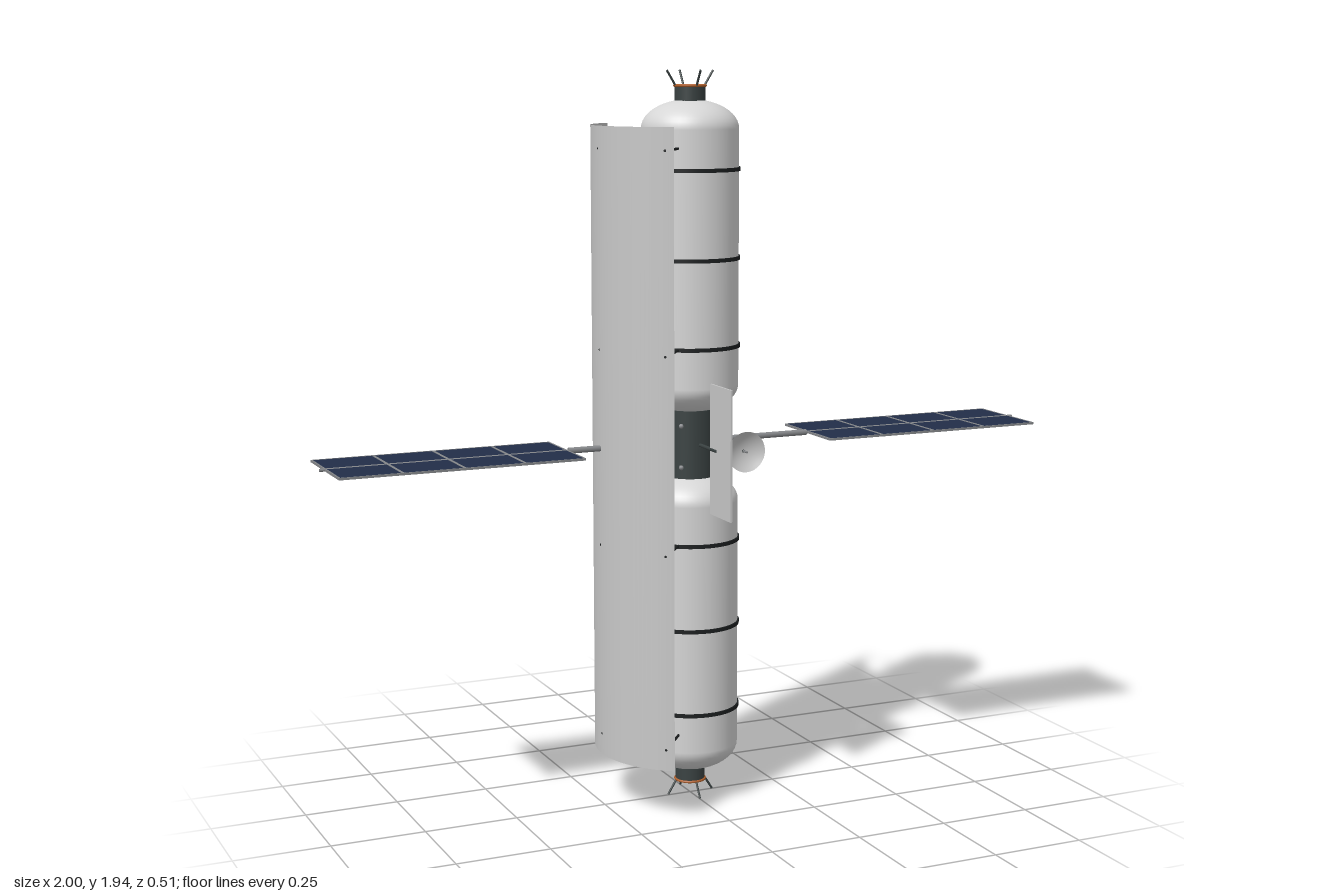
import * as THREE from 'three';

const mat = (name, color, side = THREE.FrontSide) => {
  const m = new THREE.MeshStandardMaterial({ color, side });
  m.name = name;
  return m;
};

export function createModel() {
  const root = new THREE.Group();
  root.name = 'spaceStation';
  const hull = mat('hullWhite', 0xd6d6d6);
  const shell = mat('shieldGrey', 0xc8c8c8, THREE.DoubleSide);
  const dark = mat('nodeDark', 0x3a4242);
  const black = mat('bandBlack', 0x1c1f20);
  const metal = mat('metalGrey', 0x85878a);
  const solar = mat('solarBlue', 0x222e48);
  const orange = mat('sealOrange', 0xb0602c);

  const add = (name, geo, material, x = 0, y = 0, z = 0, parent = root) => {
    const m = new THREE.Mesh(geo, material);
    m.name = name;
    m.position.set(x, y, z);
    parent.add(m);
    return m;
  };
  // Round bar between two points
  const rod = (name, a, b, r, material, parent = root) => {
    const p = new THREE.Vector3(...a), q = new THREE.Vector3(...b);
    const d = q.clone().sub(p);
    const m = add(name, new THREE.CylinderGeometry(r, r, d.length(), 8), material, 0, 0, 0, parent);
    m.position.copy(p).add(q).multiplyScalar(0.5);
    m.quaternion.setFromUnitVectors(new THREE.Vector3(0, 1, 0), d.normalize());
    return m;
  };

  const MID = 0.97;

  // Pressure modules with elliptical domes and black bands
  const R = 0.127, half = 0.407, dome = 0.075;
  const profile = [];
  for (let i = 0; i <= 12; i++) {
    const a = (i / 12) * Math.PI / 2;
    profile.push(new THREE.Vector2(R * Math.sin(a), -half + dome * (1 - Math.cos(a))));
  }
  for (let i = 12; i >= 0; i--) profile.push(new THREE.Vector2(profile[i].x, -profile[i].y));
  const tankGeo = new THREE.LatheGeometry(profile, 48);
  const bandGeo = new THREE.CylinderGeometry(0.131, 0.131, 0.01, 48);
  for (const [name, y] of [['lowerModule', 0.483], ['upperModule', 1.457]]) {
    const module = new THREE.Group();
    module.name = name;
    module.position.y = y;
    root.add(module);
    add('tank', tankGeo, hull, 0, 0, 0, module);
    for (const dy of [-0.229, 0, 0.229]) add('band', bandGeo, black, 0, dy, 0, module);
  }

  // Central node with bolts and side ports
  add('node', new THREE.CylinderGeometry(0.066, 0.066, 0.18, 32), dark, 0, MID, 0);
  for (let i = 0; i < 4; i++) {
    const a = Math.PI / 4 + i * Math.PI / 2;
    for (const dy of [-0.06, 0.05])
      add('bolt', new THREE.SphereGeometry(0.007, 10, 8), metal, 0.064 * Math.cos(a), MID + dy, 0.064 * Math.sin(a));
  }

  // Docking collars with seal rings and guide petals at both ends
  for (const s of [1, -1]) {
    const dock = new THREE.Group();
    dock.name = s > 0 ? 'topDock' : 'bottomDock';
    dock.position.y = MID + s * 0.89;
    if (s < 0) dock.rotation.x = Math.PI;
    root.add(dock);
    add('collar', new THREE.CylinderGeometry(0.04, 0.04, 0.045, 28), dark, 0, 0.016, 0, dock);
    const ring = add('sealRing', new THREE.TorusGeometry(0.04, 0.0035, 8, 32), orange, 0, 0.038, 0, dock);
    ring.rotation.x = Math.PI / 2;
    for (let i = 0; i < 4; i++) {
      const c = Math.cos(i * Math.PI / 2), n = Math.sin(i * Math.PI / 2);
      rod('petal', [0.042 * c, 0.04, 0.042 * n], [0.065 * c, 0.077, 0.065 * n], 0.003, dark, dock);
    }
  }

  // Curved shield on the model's right side, held by radial struts
  const RS = 0.257, spread = 0.99;
  add('shield', new THREE.CylinderGeometry(RS, RS, 1.655, 40, 1, true, -Math.PI / 2 - spread, spread * 2),
    shell, 0, 0.972, 0);
  for (const y of [0.2, 0.714, 1.228, 1.742])
    for (const a of [-0.9, 0, 0.9]) {
      const c = -Math.cos(a), s = Math.sin(a);
      rod('shieldStrut', [0.12 * c, y, 0.12 * s], [RS * c, y, RS * s], 0.0035, black);
    }

  // Solar wings: booms, cells and frame strips
  for (const s of [1, -1]) {
    const wing = new THREE.Group();
    wing.name = s > 0 ? 'leftWing' : 'rightWing';
    wing.position.y = MID;
    root.add(wing);
    rod('boom', [s * 0.06, 0, 0], [s * 0.345, 0, 0], 0.008, metal, wing);
    rod('spar', [s * 0.34, 0, 0], [s, 0, 0], 0.004, metal, wing);
    const x0 = 0.35, x1 = 0.985, step = (x1 - x0) / 4;
    for (let i = 0; i < 4; i++)
      for (const z of [-0.065, 0.065])
        add('solarCell', new THREE.BoxGeometry(step, 0.004, 0.13), solar, s * (x0 + (i + 0.5) * step), 0, z, wing);
    for (let i = 0; i <= 4; i++)
      add('frameRib', new THREE.BoxGeometry(i % 4 ? 0.007 : 0.004, 0.006, 0.264), metal, s * (x0 + i * step), 0, 0, wing);
    for (const z of [-0.131, 0.131])
      add('frameRail', new THREE.BoxGeometry(x1 - x0, 0.006, 0.003), metal, s * (x0 + x1) / 2, 0, z, wing);
  }

  // Radiator plates in front and behind
  for (const s of [1, -1]) {
    add('radiator', new THREE.BoxGeometry(0.005, 0.342, 0.125), shell, 0, MID, s * 0.1925);
    rod('radiatorArm', [0, MID, s * 0.05], [0, MID, s * 0.17], 0.005, dark);
  }

  // Dish antenna opening to the front
  const bowl = [];
  for (let i = 0; i <= 8; i++) bowl.push(new THREE.Vector2(0.053 * i / 8, 0.018 * (i / 8) ** 2));
  const dish = add('dish', new THREE.LatheGeometry(bowl, 32), shell, 0.065, MID, 0.19);
  dish.rotation.x = Math.PI / 2;
  rod('dishMast', [0.06, MID, 0.02], [0.065, MID, 0.191], 0.004, dark);
  rod('dishFeed', [0.065, MID, 0.19], [0.065, MID, 0.212], 0.003, metal);

  return root;
}
